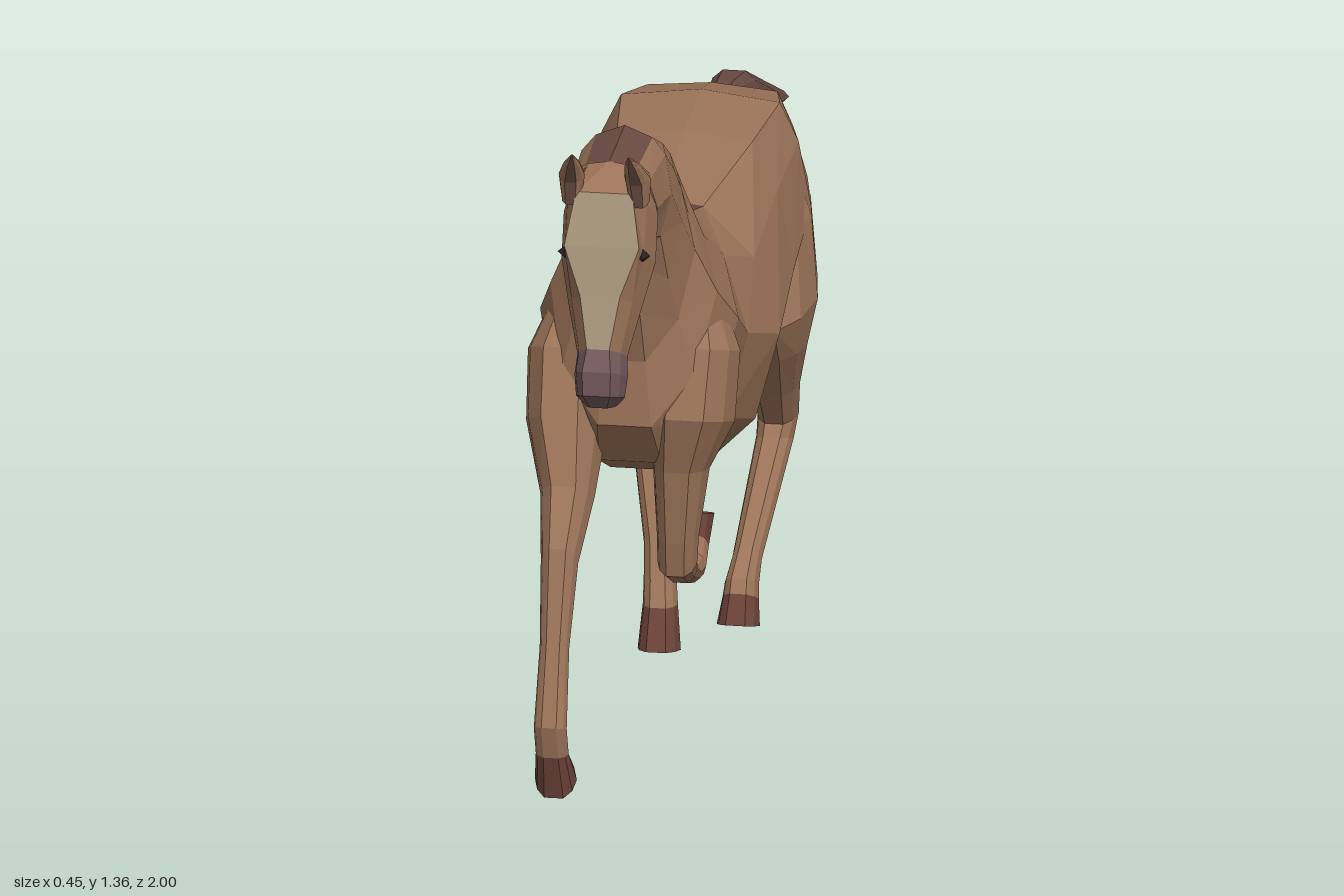
import * as THREE from 'three';

const COLORS = {
  coat: 0x9c7459, mane: 0x6b4b43, hoof: 0x6a4238, muzzle: 0x74595c,
  blaze: 0xa8957c, eye: 0x2a201c,
};
const MATERIALS = {};
for (const key in COLORS) {
  MATERIALS[key] = new THREE.MeshStandardMaterial({ color: COLORS[key], flatShading: true });
}

// Ring between an upper/front point and a lower/back point, with a crest point last.
// Row: [x, zTop, yTop, zBottom, yBottom, halfWidth, topHalfWidth, upperFullness, crest]
function ringPoints([x, zt, yt, zb, yb, w, t = w * 0.45, full = 0.84, crest = 0]) {
  const half = [[t, crest], [Math.max(t, w * full), 0.2], [w, 0.48], [w * 0.8, 0.8], [w * 0.32, 1]];
  const at = (s) => ([px, f]) => new THREE.Vector3(x + s * px, yt + (yb - yt) * f, zt + (zb - zt) * f);
  return [...half.map(at(1)), ...half.reverse().map(at(-1)), at(1)([0, 0])];
}

// Skin over the rings; paint(span, facet) names the colour. Facets 9 and 10 are the top strip.
function loft(name, rows, paint = () => 'coat') {
  const rings = rows.map(ringPoints);
  const n = 11, tris = [];
  for (let i = 0; i < rings.length - 1; i++) {
    for (let k = 0; k < n; k++) {
      const a = rings[i][k], b = rings[i][(k + 1) % n];
      const c = rings[i + 1][(k + 1) % n], d = rings[i + 1][k];
      const key = paint(i, k);
      // Mirrored diagonals keep the two sides symmetric
      if (k < 5 || k === 10) tris.push([key, a, b, c], [key, a, c, d]);
      else tris.push([key, a, b, d], [key, b, c, d]);
    }
  }
  // End caps
  const last = rings.length - 1;
  for (const i of [0, last]) {
    const mid = rings[i].reduce((s, p) => s.add(p), new THREE.Vector3()).divideScalar(n);
    for (let k = 0; k < n; k++) {
      const a = rings[i][k], b = rings[i][(k + 1) % n];
      const key = paint(Math.min(i, last - 1), 0);
      tris.push(i === 0 ? [key, mid, b, a] : [key, mid, a, b]);
    }
  }
  // Outward winding from the enclosed volume
  const o = rings[0][0];
  let volume = 0;
  for (const [, a, b, c] of tris) {
    volume += a.clone().sub(o).dot(b.clone().sub(o).cross(c.clone().sub(o)));
  }
  const buckets = {};
  for (const [key, a, b, c] of tris) {
    const out = (buckets[key] ??= []);
    for (const p of volume > 0 ? [a, b, c] : [a, c, b]) out.push(p.x, p.y, p.z);
  }
  const group = new THREE.Group();
  group.name = name;
  for (const key in buckets) {
    const g = new THREE.BufferGeometry();
    g.setAttribute('position', new THREE.Float32BufferAttribute(buckets[key], 3));
    g.computeVertexNormals();
    const mesh = new THREE.Mesh(g, MATERIALS[key]);
    mesh.name = `${name} ${key}`;
    group.add(mesh);
  }
  return group;
}

// A leg whose last span is the hoof
const leg = (name, rows) => loft(name, rows, (i) => (i === rows.length - 2 ? 'hoof' : 'coat'));

export function createModel() {
  const horse = new THREE.Group();
  horse.name = 'horse';

  // Trunk and neck, rump to poll, with the mane along the top strip
  horse.add(loft('body', [
    [0, -0.485, 0.93, -0.487, 0.78, 0.075, 0.035],
    [0, -0.46, 0.96, -0.455, 0.69, 0.125, 0.07, 0.84, 0.03],
    [0, -0.38, 1.0, -0.38, 0.65, 0.168, 0.115, 0.84, 0.03],
    [0, -0.24, 1.04, -0.22, 0.61, 0.197, 0.14, 0.88, 0.04],
    [0, -0.05, 1.035, 0.0, 0.54, 0.197, 0.12, 0.84, 0.03],
    [0, 0.2, 1.0, 0.23, 0.51, 0.207, 0.07, 0.78, 0.02],
    [0, 0.3, 1.04, 0.45, 0.59, 0.175, 0.068, 0.72, 0.04],
    [0, 0.38, 1.11, 0.6, 0.66, 0.175, 0.065, 0.6, 0.04],
    [0, 0.45, 1.17, 0.665, 0.75, 0.147, 0.062, 0.6, 0.04],
    [0, 0.5, 1.22, 0.66, 0.87, 0.112, 0.058, 0.72, 0.05],
    [0, 0.57, 1.265, 0.69, 0.97, 0.097, 0.055, 0.8, 0.06],
    [0, 0.66, 1.31, 0.725, 1.08, 0.088, 0.05, 0.84, 0.08],
    [0, 0.84, 1.31, 0.77, 1.11, 0.08, 0.045, 0.84, 0.09],
  ], (i, k) => (k >= 9 && i >= 5 ? 'mane' : 'coat')));

  // Head, poll to lips, with a pale blaze and dark muzzle
  horse.add(loft('head', [
    [0, 0.84, 1.31, 0.72, 1.2, 0.065, 0.04, 0.84, 0.1],
    [0, 0.905, 1.275, 0.735, 1.13, 0.083, 0.05],
    [0, 0.935, 1.185, 0.76, 1.07, 0.083, 0.066],
    [0, 0.955, 1.1, 0.825, 1.01, 0.064, 0.035],
    [0, 0.978, 1.01, 0.865, 0.945, 0.044, 0.02],
    [0, 0.998, 0.975, 0.875, 0.92, 0.047, 0.025],
    [0, 0.998, 0.93, 0.895, 0.892, 0.043, 0.024],
    [0, 0.975, 0.9, 0.91, 0.887, 0.028, 0.015],
  ], (i, k) => (i >= 4 ? 'muzzle' : k >= 9 && i > 0 ? 'blaze' : 'coat')));

  // Leaf-shaped ears and eyes
  for (const s of [1, -1]) {
    horse.add(loft(s > 0 ? 'leftEar' : 'rightEar', [
      [s * 0.06, 0.905, 1.25, 0.86, 1.265, 0.018],
      [s * 0.058, 0.915, 1.295, 0.88, 1.315, 0.023],
      [s * 0.054, 0.935, 1.33, 0.915, 1.34, 0.015],
      [s * 0.05, 0.952, 1.36, 0.948, 1.36, 0.002],
    ], (i, k) => (k >= 9 ? 'mane' : 'coat')));
    const eye = new THREE.Mesh(new THREE.OctahedronGeometry(0.02), MATERIALS.eye);
    eye.name = s > 0 ? 'leftEye' : 'rightEye';
    eye.scale.set(0.7, 0.6, 1.2);
    eye.position.set(s * 0.068, 1.162, 0.905);
    horse.add(eye);
  }

  // Tail streaming back to a pale tip
  horse.add(loft('tail', [
    [0, -0.45, 0.95, -0.46, 0.915, 0.02],
    [0, -0.54, 0.945, -0.53, 0.89, 0.032],
    [0, -0.64, 0.925, -0.62, 0.85, 0.045],
    [0, -0.82, 0.84, -0.77, 0.768, 0.055],
    [0, -0.91, 0.795, -0.9, 0.762, 0.057],
    [0, -1.0, 0.766, -1.0, 0.762, 0.003],
  ], (i) => (i === 4 ? 'blaze' : 'mane')));

  // Right foreleg reaching forward
  horse.add(leg('rightForeleg', [
    [-0.1, 0.53, 0.96, 0.42, 0.9, 0.045],
    [-0.118, 0.61, 0.87, 0.43, 0.79, 0.073],
    [-0.115, 0.665, 0.76, 0.47, 0.67, 0.072],
    [-0.1, 0.715, 0.65, 0.61, 0.58, 0.048],
    [-0.1, 0.785, 0.56, 0.735, 0.49, 0.033],
    [-0.1, 0.84, 0.4, 0.8, 0.38, 0.026],
    [-0.1, 0.89, 0.265, 0.85, 0.25, 0.029],
    [-0.098, 0.878, 0.205, 0.842, 0.21, 0.029],
    [-0.095, 0.863, 0.125, 0.81, 0.18, 0.037],
  ]));

  // Left foreleg folded under the chest
  horse.add(leg('leftForeleg', [
    [0.1, 0.53, 0.96, 0.42, 0.9, 0.045],
    [0.11, 0.61, 0.88, 0.42, 0.81, 0.073],
    [0.103, 0.65, 0.76, 0.44, 0.69, 0.075],
    [0.085, 0.62, 0.65, 0.495, 0.63, 0.05],
    [0.08, 0.602, 0.51, 0.53, 0.52, 0.037],
    [0.078, 0.59, 0.445, 0.53, 0.48, 0.035],
    [0.075, 0.5, 0.4, 0.49, 0.455, 0.029],
    [0.062, 0.32, 0.333, 0.335, 0.38, 0.024],
    [0.06, 0.285, 0.325, 0.288, 0.38, 0.028],
    [0.058, 0.235, 0.355, 0.272, 0.405, 0.03],
    [0.055, 0.16, 0.405, 0.26, 0.44, 0.036],
  ]));

  // Left hind leg swung forward
  horse.add(leg('leftHindLeg', [
    [0.11, -0.12, 0.95, -0.3, 0.95, 0.05],
    [0.12, -0.05, 0.83, -0.36, 0.83, 0.082],
    [0.13, 0.04, 0.7, -0.33, 0.7, 0.092],
    [0.14, -0.03, 0.62, -0.22, 0.62, 0.066],
    [0.14, -0.12, 0.52, -0.25, 0.53, 0.044],
    [0.138, -0.18, 0.445, -0.292, 0.45, 0.036],
    [0.136, -0.165, 0.425, -0.255, 0.395, 0.033],
    [0.13, 0.095, 0.318, 0.07, 0.265, 0.026],
    [0.128, 0.165, 0.285, 0.095, 0.24, 0.03],
    [0.128, 0.18, 0.262, 0.108, 0.22, 0.032],
    [0.128, 0.213, 0.215, 0.13, 0.188, 0.038],
  ]));

  // Right hind leg pushing off
  horse.add(leg('rightHindLeg', [
    [-0.11, -0.14, 0.95, -0.33, 0.95, 0.05],
    [-0.12, -0.06, 0.82, -0.39, 0.83, 0.082],
    [-0.135, -0.01, 0.66, -0.4, 0.7, 0.09],
    [-0.15, -0.08, 0.58, -0.3, 0.61, 0.074],
    [-0.138, -0.25, 0.485, -0.35, 0.55, 0.044],
    [-0.122, -0.335, 0.42, -0.437, 0.455, 0.034],
    [-0.115, -0.345, 0.37, -0.425, 0.37, 0.031],
    [-0.08, -0.25, 0.19, -0.297, 0.165, 0.025],
    [-0.072, -0.215, 0.125, -0.277, 0.12, 0.029],
    [-0.069, -0.192, 0.085, -0.265, 0.075, 0.031],
    [-0.066, -0.15, 0.018, -0.24, 0.0, 0.038],
  ]));

  return horse;
}
